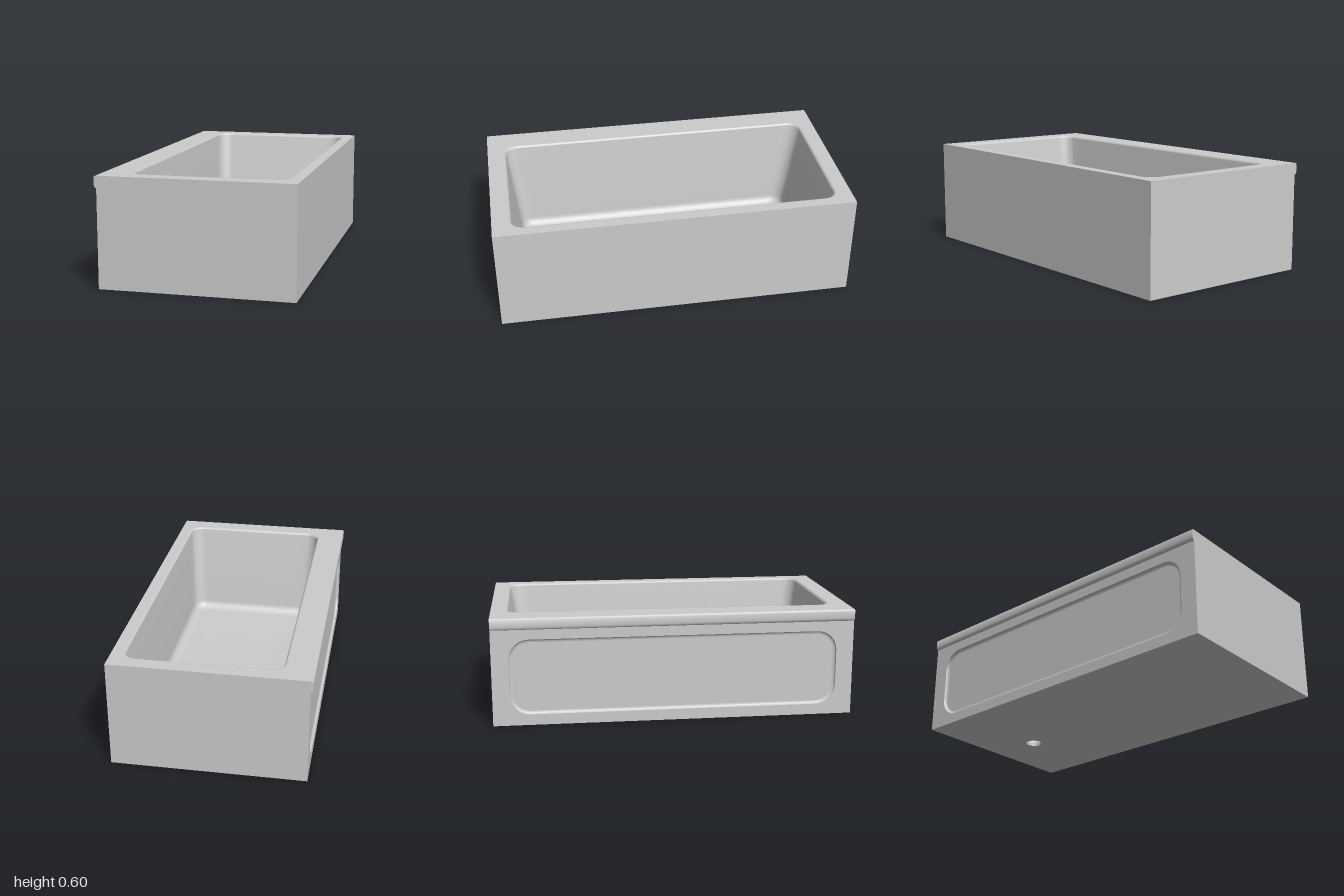
import * as THREE from 'three';
import { toCreasedNormals } from 'three/addons/utils/BufferGeometryUtils.js';

const V2 = (x, y) => new THREE.Vector2(x, y);
const material = new THREE.MeshStandardMaterial({ color: 0xcccccc });

// Main sizes
const H = 0.6, LEFT = -0.52, RIGHT = 0.53, LIP_Y = 0.535;
const FLOOR = 0.045, DRAIN = V2(0.05, 0.69); // drain as (x, -z)

// Counter-clockwise rounded rectangle, with samples along the straight sides
function roundedLoop(x0, x1, y0, y1, r, arc = 8, side = 20) {
  const pts = [];
  const corners = [[x1 - r, y0 + r, -90], [x1 - r, y1 - r, 0], [x0 + r, y1 - r, 90], [x0 + r, y0 + r, 180]];
  corners.forEach(([cx, cy, start], k) => {
    for (let i = 0; i <= arc; i++) {
      const a = THREE.MathUtils.degToRad(start + 90 * i / arc);
      pts.push(V2(cx + r * Math.cos(a), cy + r * Math.sin(a)));
    }
    const [nx, ny, next] = corners[(k + 1) % 4];
    const a = THREE.MathUtils.degToRad(next);
    const end = V2(nx + r * Math.cos(a), ny + r * Math.sin(a));
    const from = pts[pts.length - 1];
    for (let i = 1; i < side; i++) pts.push(from.clone().lerp(end, i / side));
  });
  return pts;
}

// Surface through rows of 3D points
function loft(rows, closed = true, crease = 0.6) {
  const n = rows[0].length, index = [];
  for (let i = 0; i < rows.length - 1; i++) {
    for (let j = 0; j < (closed ? n : n - 1); j++) {
      const k = (j + 1) % n;
      const a = i * n + j, b = i * n + k, c = a + n, d = b + n;
      index.push(a, b, d, a, d, c);
    }
  }
  const g = new THREE.BufferGeometry().setFromPoints(rows.flat());
  g.setIndex(index);
  return toCreasedNormals(g, crease);
}

function flat(points, hole) {
  const s = new THREE.Shape(points);
  if (hole) s.holes.push(new THREE.Path(hole));
  return new THREE.ShapeGeometry(s);
}
const rect = (x0, x1, y0, y1) => [V2(x0, y0), V2(x1, y0), V2(x1, y1), V2(x0, y1)];
const onPlan = (pts, y) => pts.map(p => new THREE.Vector3(p.x, y, -p.y));
const onSide = (pts, x) => pts.map(p => new THREE.Vector3(x, p.y, p.x));

export function createModel() {
  const group = new THREE.Group();
  const add = (name, geometry) => {
    const m = new THREE.Mesh(geometry, material);
    m.name = name;
    group.add(m);
  };

  // Basin: rounded rim, drafted walls, floor fillet, then floor falling to the drain
  const top = [-0.372, 0.458, -0.895, 0.908], bottom = [-0.347, 0.436, -0.83, 0.815];
  const basinLoop = (y, inset) => {
    const t = (H - y) / (H - FLOOR);
    const [x0, x1, v0, v1] = top.map((v, i) => v + (bottom[i] - v) * t);
    return roundedLoop(x0 + inset, x1 - inset, v0 + inset, v1 - inset, 0.07 - inset * 0.7);
  };
  const rim = 0.012, fillet = 0.05, rows = [];
  let opening, floorLoop;
  for (let i = 0; i <= 5; i++) {
    const a = i / 5 * Math.PI / 2;
    const y = H - rim * (1 - Math.cos(a));
    const pts = basinLoop(y, -rim * (1 - Math.sin(a)));
    if (i === 0) opening = pts;
    rows.push(onPlan(pts, y));
  }
  for (let i = 0; i <= 8; i++) {
    const a = i / 8 * Math.PI / 2;
    const y = FLOOR + fillet * (1 - Math.sin(a));
    floorLoop = basinLoop(y, fillet * (1 - Math.cos(a)));
    rows.push(onPlan(floorLoop, y));
  }
  const ring = r => floorLoop.map(p => p.clone().sub(DRAIN).setLength(r).add(DRAIN));
  [[0.066, 0.036], [0.06, 0.026], [0.047, 0.022], [0.047, 0]].forEach(([r, y]) => rows.push(onPlan(ring(r), y)));
  add('basin', loft(rows));

  // Flat deck around the opening and underside around the drain
  const lipTop = -0.525;
  add('deck', flat(rect(lipTop, RIGHT, -1, 1), opening).rotateX(-Math.PI / 2).translate(0, H, 0));
  const drainHole = ring(0.047).map(p => V2(p.x, -p.y));
  add('underside', flat(rect(LEFT, RIGHT, -1, 1), drainHole).rotateX(Math.PI / 2));

  // Overhanging lip along the apron side
  const lip = [V2(lipTop, H), V2(-0.53, 0.597), V2(-0.533, 0.59), V2(-0.533, 0.553),
    V2(-0.531, 0.543), V2(-0.526, 0.537), V2(LEFT, LIP_Y)];
  add('apronLip', loft(lip.map(p => [new THREE.Vector3(p.x, p.y, 1), new THREE.Vector3(p.x, p.y, -1)]), false, 0.9));

  // End walls follow the body and lip section
  const section = [V2(LEFT, 0), V2(RIGHT, 0), V2(RIGHT, H), ...lip];
  add('frontWall', flat(section).translate(0, 0, 1));
  add('backWall', flat(section.map(p => V2(-p.x, p.y))).rotateY(Math.PI).translate(0, 0, -1));
  add('plainSideWall', new THREE.PlaneGeometry(2, H).rotateY(Math.PI / 2).translate(RIGHT, H / 2, 0));

  // Apron with a shallow recessed panel and curved step
  const panelLoop = inset => roundedLoop(-0.905 + inset, 0.905 - inset, 0.06 + inset, 0.48 - inset, 0.11 - inset, 10, 2);
  add('apron', flat(rect(-1, 1, 0, LIP_Y), panelLoop(0)).rotateY(-Math.PI / 2).translate(LEFT, 0, 0));
  const step = [];
  for (let i = 0; i <= 5; i++) {
    const a = i / 5 * Math.PI / 2;
    step.push(onSide(panelLoop(0.018 * (1 - Math.cos(a))), LEFT + 0.015 * Math.sin(a)));
  }
  add('panelStep', loft(step));
  add('recessedPanel', flat(panelLoop(0.018)).rotateY(-Math.PI / 2).translate(LEFT + 0.015, 0, 0));

  return group;
}
